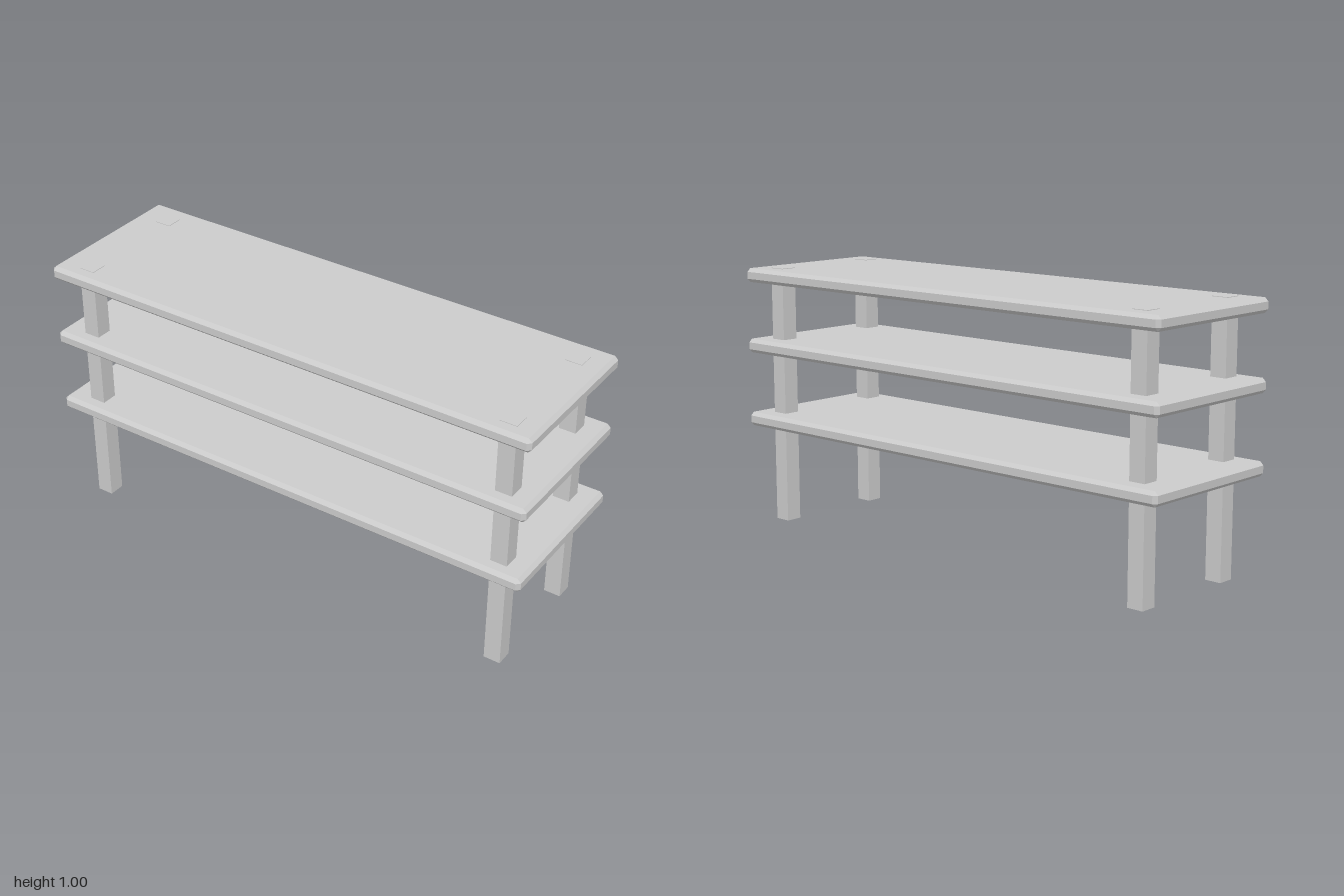
import * as THREE from 'three';
import { ConvexGeometry } from 'three/addons/geometries/ConvexGeometry.js';

const material = new THREE.MeshStandardMaterial({ color: 0xcccccc, flatShading: true });

// Box with every edge and corner cut by a single flat chamfer
function chamferedBox(width, height, depth, bevel) {
  const half = [width / 2, height / 2, depth / 2];
  const points = [];
  for (const sx of [-1, 1]) for (const sy of [-1, 1]) for (const sz of [-1, 1]) {
    const sign = [sx, sy, sz];
    // three points per corner, each lying on one of the main faces
    for (let face = 0; face < 3; face++) {
      const p = half.map((h, axis) => sign[axis] * (axis === face ? h : h - bevel));
      points.push(new THREE.Vector3(...p));
    }
  }
  return new ConvexGeometry(points);
}

export function createModel() {
  const model = new THREE.Group();
  model.name = 'shelfUnit';

  const add = (name, geometry, x, y, z) => {
    const mesh = new THREE.Mesh(geometry, material);
    mesh.name = name;
    mesh.position.set(x, y, z);
    model.add(mesh);
  };

  // Three equal shelves
  const shelf = chamferedBox(2, 0.054, 0.624, 0.0135);
  const levels = { lowerShelf: 0.404, middleShelf: 0.695, topShelf: 0.971 };
  for (const [name, y] of Object.entries(levels)) add(name, shelf, 0, y, 0);

  // Four square legs, passing through all shelves and just proud of the top
  const leg = new THREE.BoxGeometry(0.064, 1, 0.064);
  for (const [side, x] of [['Left', 0.892], ['Right', -0.872]]) {
    for (const [end, z] of [['front', 0.23], ['back', -0.212]]) {
      add(`${end}${side}Leg`, leg, x, 0.5, z);
    }
  }

  return model;
}
